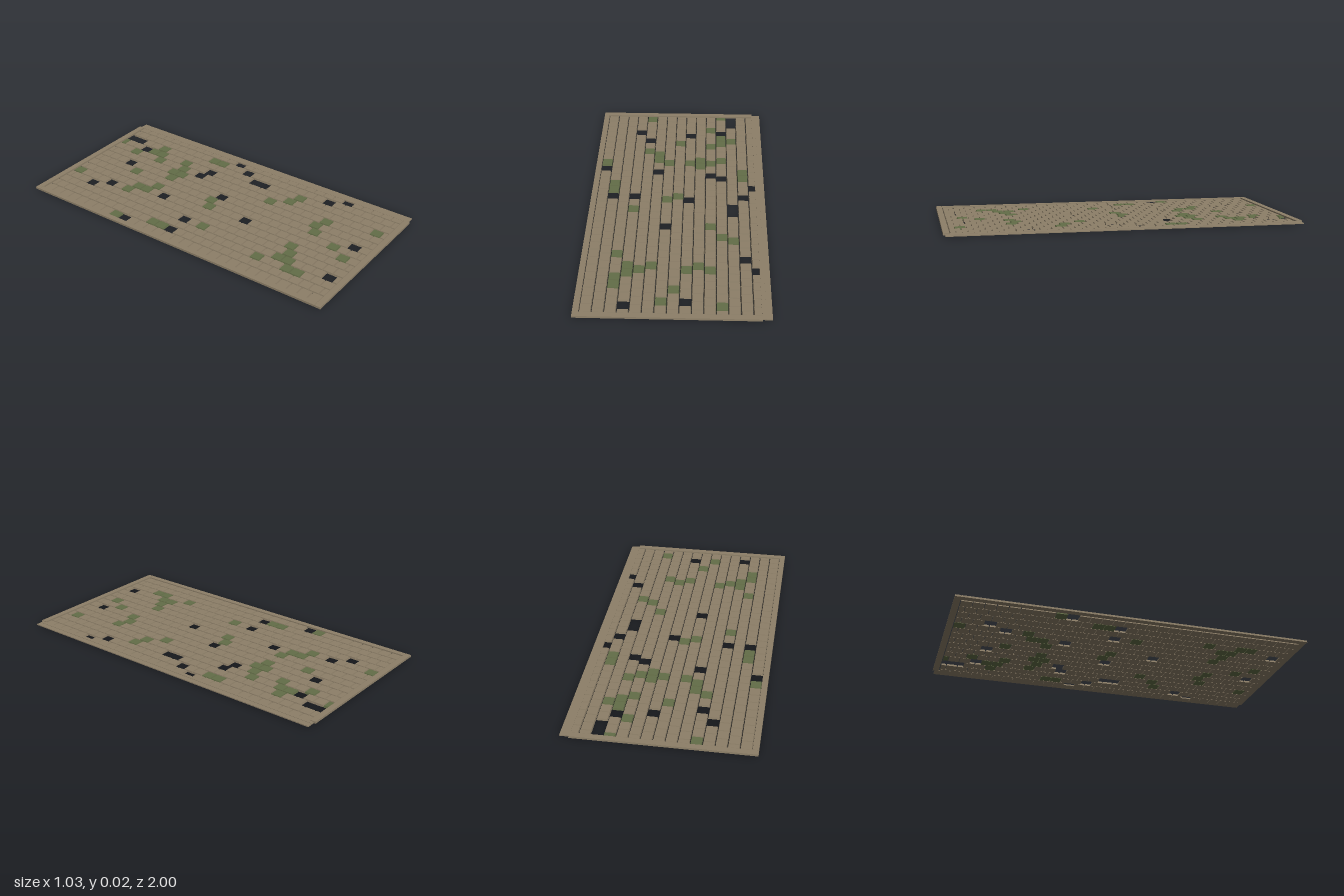
import * as THREE from 'three';
import { mergeGeometries } from 'three/addons/utils/BufferGeometryUtils.js';

const PITCH = 0.0642, COLS = 15, HALF_ROWS = 15;

// Gaps and mossy stones, listed per column as row numbers counted from the middle
const MISSING = {
  0: [-6], 1: [-1], 3: [-12, -1, 14], 4: [-11], 5: [-5], 6: [3], 8: [-12, -1, 13],
  10: [-5], 11: [-12, -4], 12: [-15, -14, 0, 1], 13: [-1, 8], 14: [-3, 9],
};
const MOSSY = {
  0: [-7], 1: [-3, -2], 2: [7, 10, 11], 3: [1, 9, 10], 4: [-15, -9, 9], 5: [-8, -7, 9],
  6: [-7, -1, 13], 7: [-10, -1, 12], 8: [-7, 9], 9: [-7, -6, 9],
  10: [-13, -10, -7, 3, 9], 11: [-15, -11, -10, -7, 5, 14], 12: [-11, 5], 13: [-5, -4],
};

// Box standing on y0 whose top is drawn in by a bevel
function bevelled(x0, x1, y0, y1, z0, z1, inset) {
  const w = x1 - x0, d = z1 - z0;
  const g = new THREE.BoxGeometry(w, y1 - y0, d);
  const p = g.attributes.position;
  for (let i = 0; i < p.count; i++) {
    if (p.getY(i) > 0) {
      p.setX(i, p.getX(i) * (1 - 2 * inset / w));
      p.setZ(i, p.getZ(i) * (1 - 2 * inset / d));
    }
  }
  g.translate((x0 + x1) / 2, (y0 + y1) / 2, (z0 + z1) / 2);
  g.computeVertexNormals();
  return g;
}

export function createModel() {
  const group = new THREE.Group();
  const stone = new THREE.MeshStandardMaterial({ color: 0x8d7f68, flatShading: true });
  const moss = new THREE.MeshStandardMaterial({ color: 0x636d47, flatShading: true });
  const add = (name, geometry, material) => {
    const mesh = new THREE.Mesh(geometry, material);
    mesh.name = name;
    group.add(mesh);
  };

  // Paving stones: odd columns are shifted half a stone and end in half stones
  const plain = [], mossy = [];
  const limit = HALF_ROWS * PITCH, gap = 0.0012;
  for (let c = 0; c < COLS; c++) {
    const x = (c - (COLS - 1) / 2) * PITCH;
    const shift = c % 2 ? 0 : 0.5;
    const last = c % 2 ? HALF_ROWS : HALF_ROWS - 1;
    for (let r = -HALF_ROWS; r <= last; r++) {
      if (MISSING[c]?.includes(r)) continue;
      const z = (r + shift) * PITCH;
      const z0 = Math.max(z - PITCH / 2, -limit) + gap;
      const z1 = Math.min(z + PITCH / 2, limit) - gap;
      const g = bevelled(x - PITCH / 2 + gap, x + PITCH / 2 - gap, 0, 0.0115, z0, z1, 0.003);
      (MOSSY[c]?.includes(r) ? mossy : plain).push(g);
    }
  }
  add('pavingStones', mergeGeometries(plain), stone);
  add('mossyStones', mergeGeometries(mossy), moss);

  // Raised kerbs along the left edge and both ends
  add('frontKerb', bevelled(-0.515, 0.462, 0.005, 0.016, 0.965, 1, 0.001), stone);
  add('backKerb', bevelled(-0.515, 0.462, 0.005, 0.016, -1, -0.965, 0.001), stone);
  add('sideKerb', bevelled(-0.515, -0.481, 0.005, 0.016, -0.965, 0.965, 0.001), stone);

  // Lower stepped kerb along the other edge
  add('lowKerbStep', bevelled(0.458, 0.482, 0.005, 0.0125, -0.99, 0.99, 0.001), stone);
  add('lowKerb', bevelled(0.48, 0.513, 0.005, 0.0105, -0.99, 0.99, 0.0005), stone);

  return group;
}
